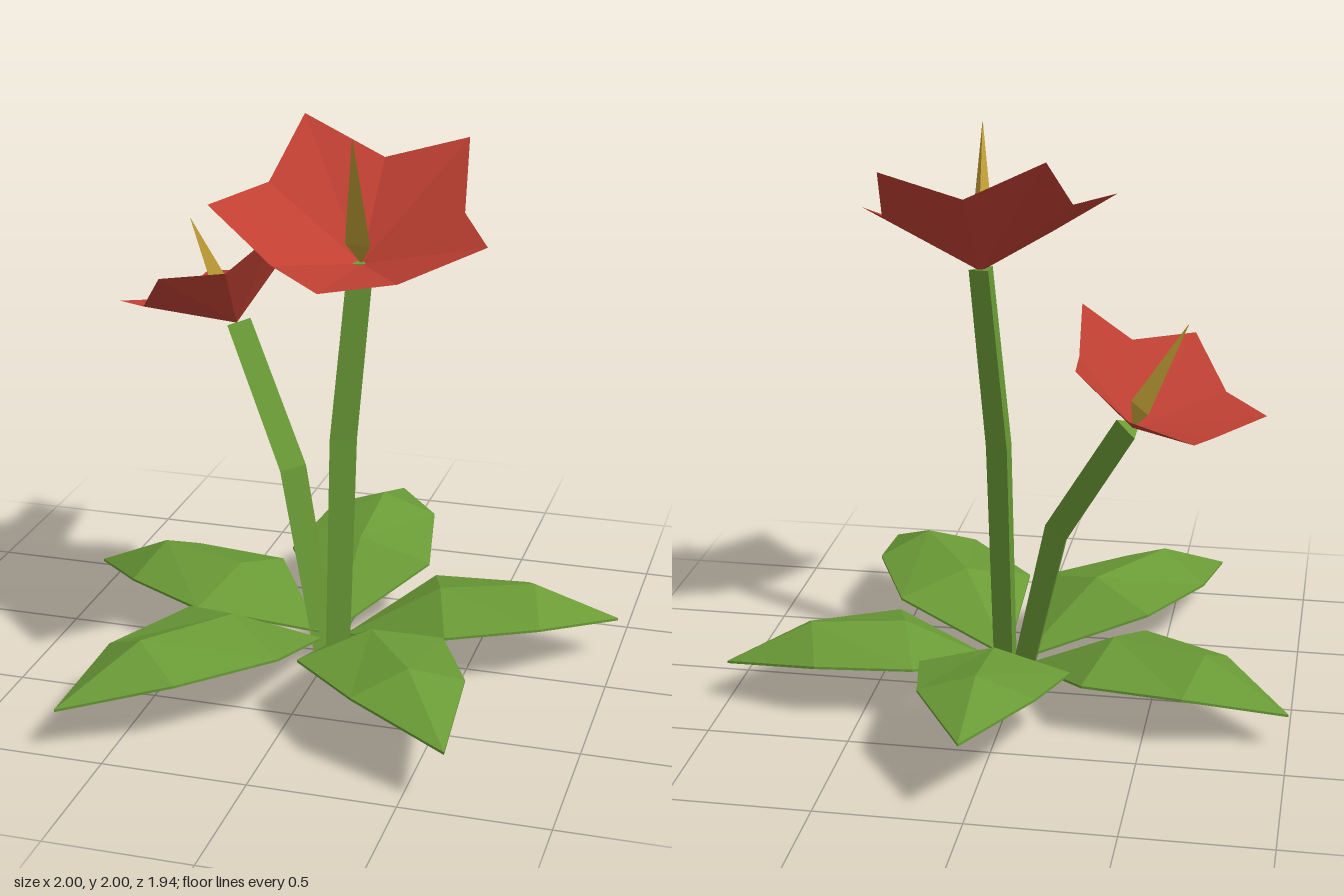
import * as THREE from 'three';

const V = (x, y, z) => new THREE.Vector3(x, y, z);
const mat = (name, color, extra = {}) => {
  const m = new THREE.MeshStandardMaterial({ color, ...extra });
  m.name = name;
  return m;
};

// Flat-faceted geometry from points and triangles
function facets(points, tris) {
  const g = new THREE.BufferGeometry().setFromPoints(tris.flat().map((i) => points[i]));
  g.computeVertexNormals();
  return g;
}

// Three-sided tapering tube along a path, closed at both ends
function triTube(path, radii, turn = 0, startDir = null) {
  const up = V(0, 1, 0), pts = [], tris = [], n = path.length - 1;
  path.forEach((p, i) => {
    const dir = path[Math.min(i + 1, n)].clone().sub(path[Math.max(i - 1, 0)]).normalize();
    const q = new THREE.Quaternion().setFromUnitVectors(up, i === 0 && startDir ? startDir : dir);
    for (let k = 0; k < 3; k++) {
      const a = turn + (k * Math.PI * 2) / 3;
      pts.push(V(Math.cos(a), 0, -Math.sin(a)).multiplyScalar(radii[i]).applyQuaternion(q).add(p));
    }
  });
  for (let i = 0; i < n; i++) {
    for (let k = 0; k < 3; k++) {
      const a = i * 3 + k, b = i * 3 + ((k + 1) % 3);
      tris.push([a, b, b + 3], [a, b + 3, a + 3]);
    }
  }
  tris.push([2, 1, 0], [n * 3, n * 3 + 1, n * 3 + 2]);
  return facets(pts, tris);
}

// Leaf blade: root, two creased rows (left, rib, right) and a tip, with a thin rim
function leafParts([rootX, rootZ], [tipX, tipZ], [rib1, edge1, rib2, edge2, tipY]) {
  const dx = tipX - rootX, dz = tipZ - rootZ, len = Math.hypot(dx, dz);
  const at = (t, side, y) =>
    V(rootX + dx * t - (dz / len) * side, y, rootZ + dz * t + (dx / len) * side);
  const upper = [
    at(0, 0, 0.094),
    at(0.345, -0.265, edge1), at(0.345, 0, rib1), at(0.345, 0.265, edge1),
    at(0.69, -0.2, edge2), at(0.69, 0, rib2), at(0.69, 0.2, edge2),
    at(1, 0, tipY),
  ];
  const pts = [...upper, ...upper.map((p) => V(p.x, p.y - 0.009, p.z))];
  const tris = [
    [0, 2, 1], [0, 3, 2],
    [1, 2, 5], [1, 5, 4], [2, 3, 6], [2, 6, 5],
    [4, 5, 7], [5, 6, 7],
  ];
  const rim = [0, 1, 4, 7, 6, 3].flatMap((a, i, loop) => {
    const b = loop[(i + 1) % loop.length];
    return [[b + 8, a + 8, a], [b + 8, a, b]];
  });
  return [
    facets(pts, [...tris, ...rim]),
    facets(pts, tris.map(([a, b, c]) => [a + 8, c + 8, b + 8])),
  ];
}

// Star-shaped cup: a fan from the centre round alternating tips and valleys
function bloom(centre, rim) {
  const pts = [centre, ...rim.map((p) => V(...p))];
  return facets(pts, rim.map((_, i) => [0, 1 + ((i + 1) % rim.length), 1 + i]));
}

// Spike: grows from a point, swells near the bottom, then tapers to its tip
function spike(base, tip, radius, turn) {
  return triTube([base, base.clone().lerp(tip, 0.2), tip], [0.001, radius, 0.001], turn);
}

export function createModel() {
  const green = mat('leaf green', 0x6a9a36);
  const under = mat('leaf underside green', 0x315328);
  const red = mat('petal red', 0xc04033, { side: THREE.DoubleSide });
  const ochre = mat('stamen ochre', 0xc2a036);

  const model = new THREE.Group();
  model.name = 'floweringPlant';
  const add = (name, geometry, material, parent = model) => {
    const m = new THREE.Mesh(geometry, material);
    m.name = name;
    parent.add(m);
  };

  // Leaves: root x z, tip x z, heights of rib and edge on each row and of the tip
  const leaves = {
    backLeaf: [[0.012, 0], [0.02, -0.97], [0.318, 0.244, 0.367, 0.299, 0.267]],
    leftLeaf: [[0.06, 0.03], [1, -0.25], [0.274, 0.204, 0.288, 0.204, 0.152]],
    rightLeaf: [[-0.04, 0.03], [-1, -0.29], [0.274, 0.194, 0.278, 0.194, 0.122]],
    frontRightLeaf: [[-0.018, 0.085], [-0.675, 0.968], [0.298, 0.229, 0.308, 0.219, 0.156]],
    frontLeftLeaf: [[0.042, 0.085], [0.64, 0.953], [0.302, 0.229, 0.327, 0.254, 0.191]],
  };
  for (const [name, [root, tip, heights]] of Object.entries(leaves)) {
    const leaf = new THREE.Group();
    leaf.name = name;
    const [top, bottom] = leafParts(root, tip, heights);
    add(name + 'Top', top, green, leaf);
    add(name + 'Underside', bottom, under, leaf);
    model.add(leaf);
  }

  // Stems
  const up = V(0, 1, 0), radii = [0.051, 0.056, 0.052];
  add('tallStem', triTube([V(0.036, 0, 0.076), V(0.068, 0.89, 0.121), V(0.137, 1.53, 0.155)],
    radii, 0, up), green);
  add('shortStem', triTube([V(-0.024, 0, 0.012), V(-0.176, 0.665, -0.087), V(-0.437, 1.128, -0.283)],
    radii, 0, up), green);

  // Large flower, rim listed clockwise from above
  const largeCentre = V(0.145, 1.522, 0.152);
  add('largePetals', bloom(largeCentre, [
    [-0.12, 1.965, -0.085], [0.16, 1.83, -0.09],
    [0.45, 1.915, -0.1], [0.487, 1.713, 0.12],
    [0.622, 1.678, 0.388], [0.355, 1.563, 0.487],
    [0.155, 1.58, 0.708], [-0.06, 1.593, 0.495],
    [-0.3, 1.757, 0.415], [-0.18, 1.775, 0.135],
  ]), red);
  add('largeStamen', spike(largeCentre, V(0.182, 2, 0.403), 0.05, Math.PI / 2), ochre);

  // Small flower
  const smallCentre = V(-0.445, 1.128, -0.29);
  add('smallPetals', bloom(smallCentre, [
    [-0.68, 1.205, -0.655], [-0.465, 1.245, -0.58],
    [-0.295, 1.41, -0.6], [-0.275, 1.388, -0.365],
    [-0.257, 1.513, -0.17], [-0.417, 1.372, -0.09],
    [-0.62, 1.372, 0.035], [-0.74, 1.215, -0.12],
    [-0.885, 1.183, -0.26], [-0.725, 1.155, -0.43],
  ]), red);
  add('smallStamen', spike(smallCentre, V(-0.625, 1.5, -0.318), 0.046, 0), ochre);

  return model;
}
